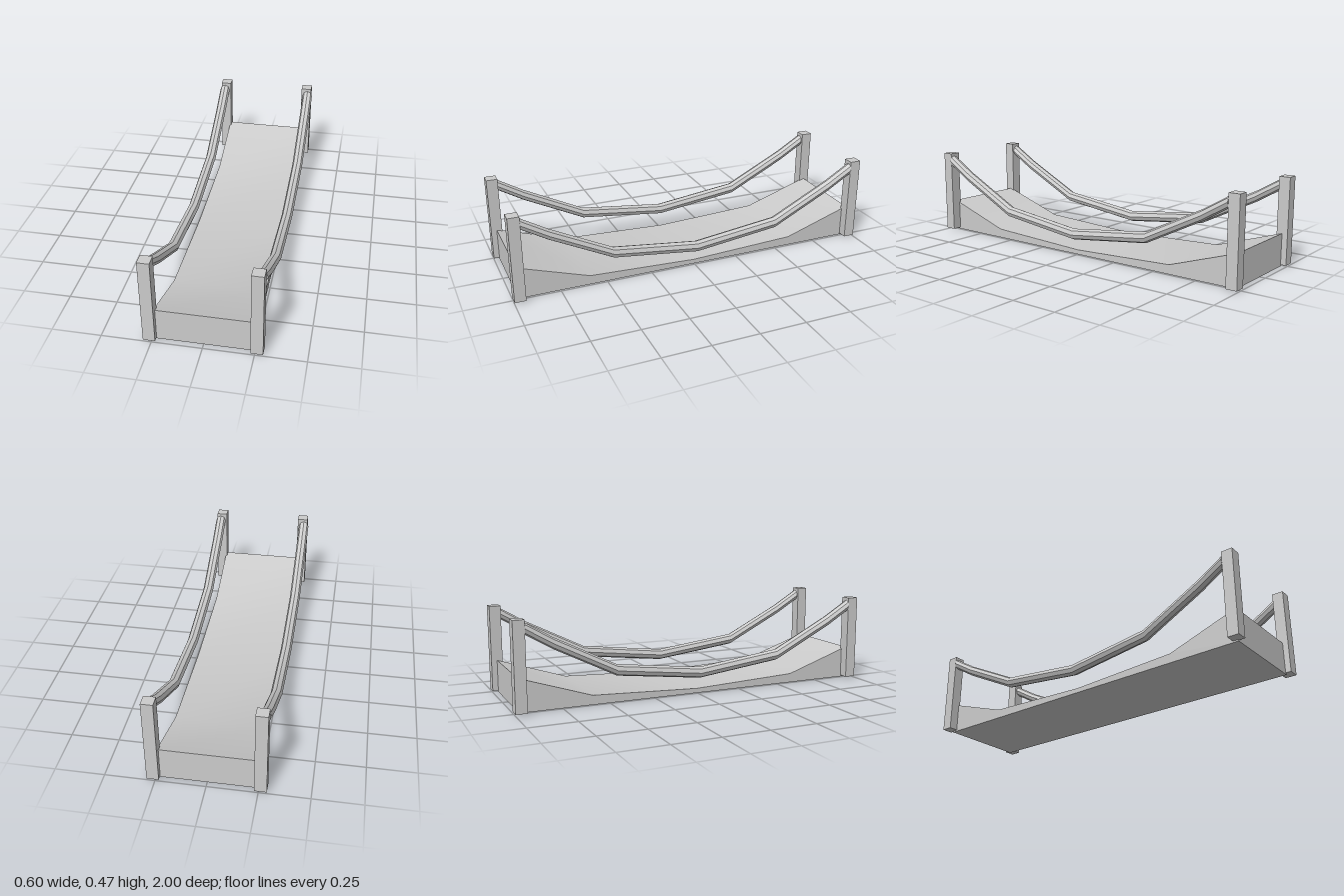
import * as THREE from 'three';
import { toCreasedNormals } from 'three/addons/utils/BufferGeometryUtils.js';

const material = new THREE.MeshStandardMaterial({ color: 0xcccccc });
const CREASE = Math.PI / 6;

function addMesh(group, geometry, name) {
  const mesh = new THREE.Mesh(geometry, material);
  mesh.name = name;
  group.add(mesh);
  return mesh;
}

// Sagging deck: side profile (z, y) extruded across the width
function deckGeometry() {
  const shape = new THREE.Shape([
    [-0.97, 0], [0.97, 0], [0.97, 0.175], [0.59, 0.05],
    [0, 0.025], [-0.59, 0.05], [-0.97, 0.175],
  ].map(([z, y]) => new THREE.Vector2(z, y)));
  const geometry = new THREE.ExtrudeGeometry(shape, { depth: 0.48, bevelEnabled: false });
  geometry.translate(0, 0, -0.24).rotateY(-Math.PI / 2);
  return toCreasedNormals(geometry, CREASE);
}

// Eight-sided rope: a straight cylinder whose rings are moved onto the hanging curve
function ropeGeometry() {
  const half = [[0, 0.12], [0.47, 0.177], [0.8, 0.342], [0.94, 0.425]];
  const geometry = new THREE.CylinderGeometry(0.03, 0.03, 6, 8, 6).rotateX(Math.PI / 2);
  const p = geometry.attributes.position;
  for (let i = 0; i < p.count; i++) {
    const ring = Math.round(p.getZ(i));
    const [z, y] = half[Math.abs(ring)];
    p.setZ(i, Math.sign(ring) * z);
    p.setY(i, p.getY(i) + y);
  }
  return toCreasedNormals(geometry, CREASE);
}

export function createModel() {
  const model = new THREE.Group();
  model.name = 'ropeBridge';

  addMesh(model, deckGeometry(), 'deck');

  const rope = ropeGeometry();
  const post = new THREE.BoxGeometry(0.06, 0.462, 0.06);
  for (const [side, sx] of [['left', 1], ['right', -1]]) {
    addMesh(model, rope, side + 'Rope').position.x = sx * 0.269;
    for (const [end, sz] of [['Front', 1], ['Back', -1]]) {
      addMesh(model, post, side + end + 'Post').position.set(sx * 0.261, 0.239, sz * 0.97);
    }
  }
  return model;
}
